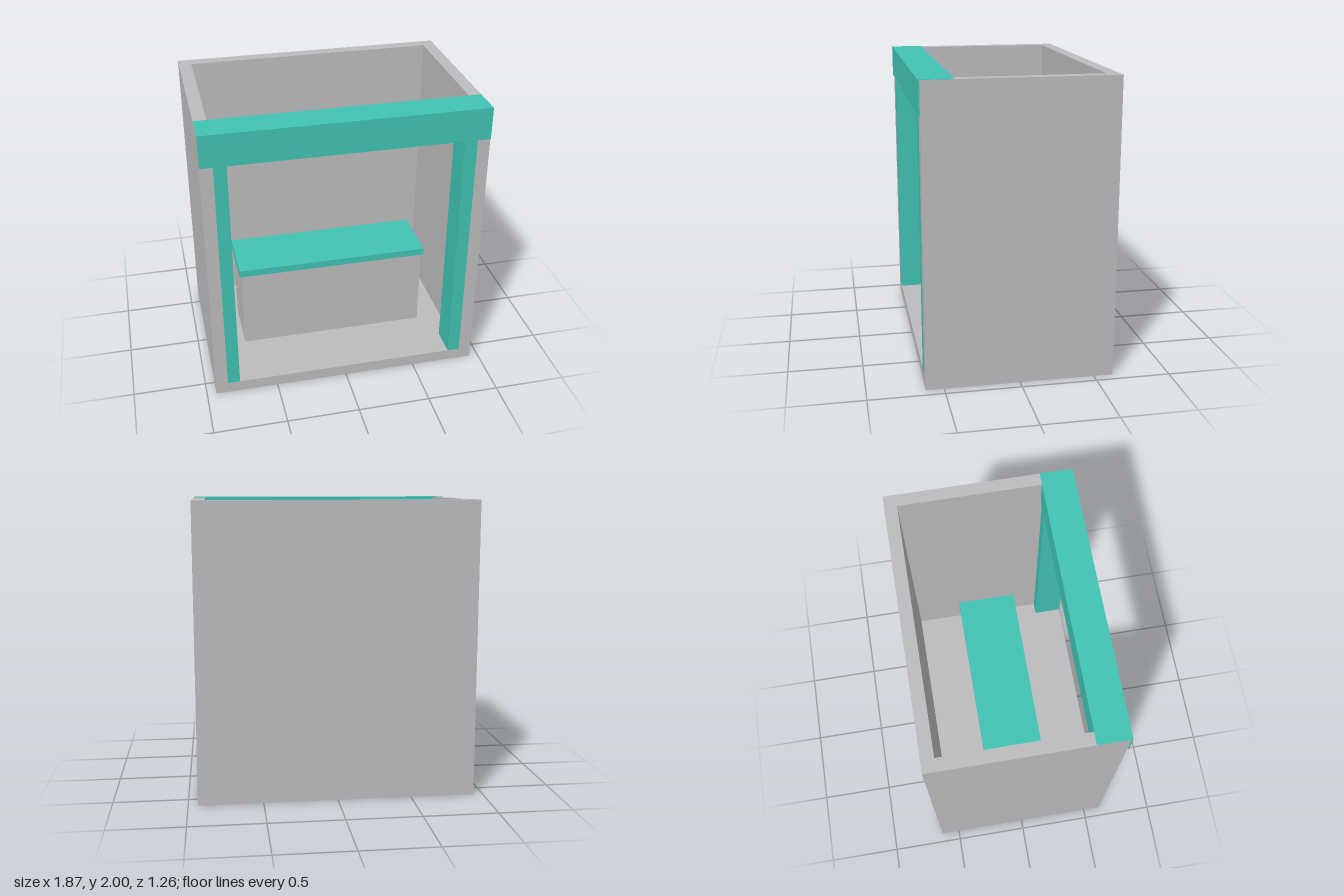
import * as THREE from 'three';

export function createModel() {
  const root = new THREE.Group();
  root.name = 'marketBooth';

  const grey = new THREE.MeshStandardMaterial({ color: 0xbcbcbe });
  grey.name = 'grey panel';
  const teal = new THREE.MeshStandardMaterial({ color: 0x40c3b3 });
  teal.name = 'teal trim';

  // Box given by its lower and upper corners
  function box(name, material, [x0, y0, z0], [x1, y1, z1]) {
    const mesh = new THREE.Mesh(new THREE.BoxGeometry(x1 - x0, y1 - y0, z1 - z0), material);
    mesh.position.set((x0 + x1) / 2, (y0 + y1) / 2, (z0 + z1) / 2);
    mesh.name = name;
    root.add(mesh);
  }

  const outer = 0.935, inner = 0.85;
  const front = 0.62, back = -0.63, backInner = -0.545;

  // Side and back walls: a U-shaped plan raised to full height (shape y is -z)
  const plan = new THREE.Shape([
    [-outer, -front], [-inner, -front], [-inner, -backInner], [inner, -backInner],
    [inner, -front], [outer, -front], [outer, -back], [-outer, -back],
  ].map(([x, y]) => new THREE.Vector2(x, y)));
  const walls = new THREE.Mesh(
    new THREE.ExtrudeGeometry(plan, { depth: 1.998, bevelEnabled: false }), grey);
  walls.rotation.x = -Math.PI / 2;
  walls.name = 'walls';
  root.add(walls);

  // Floor slab between the walls
  box('floor', grey, [-inner, 0, backInner], [inner, 0.08, front]);

  // Counter and its top board
  box('counterBase', grey, [-0.665, 0.08, -0.205], [0.665, 0.667, 0.19]);
  box('counterTop', teal, [-0.68, 0.667, -0.22], [0.68, 0.717, 0.205]);

  // Front posts and the beam across them
  box('leftPost', teal, [0.765, 0.08, 0.42], [inner, 1.79, front]);
  box('rightPost', teal, [-inner, 0.08, 0.42], [-0.765, 1.79, front]);
  box('headerBeam', teal, [-0.934, 1.782, 0.41], [0.934, 2, 0.63]);

  return root;
}
